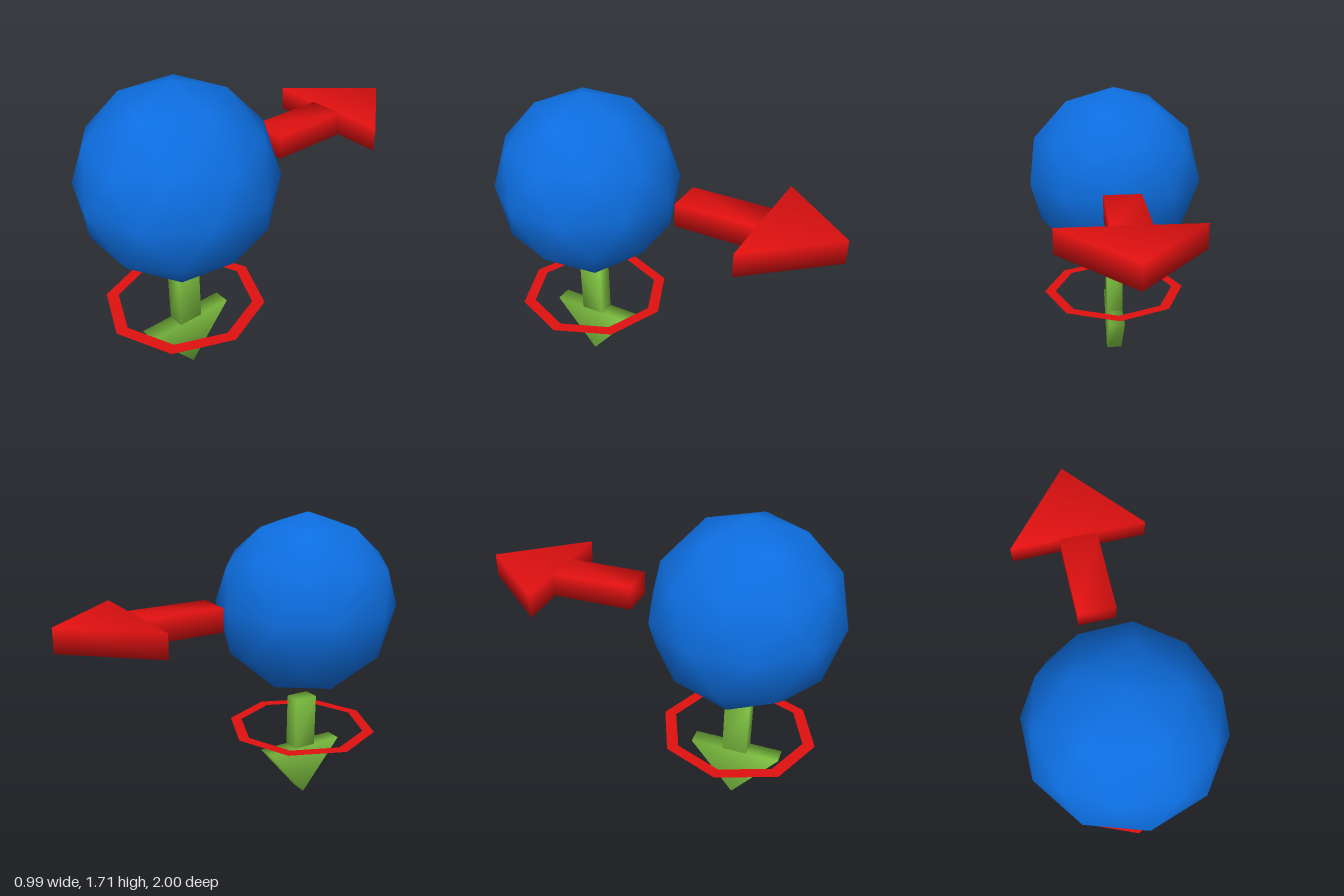
import * as THREE from 'three';
import { mergeVertices } from 'three/addons/utils/BufferGeometryUtils.js';

const mat = (name, color, side = THREE.FrontSide) => {
  const m = new THREE.MeshStandardMaterial({ color, side });
  m.name = name;
  return m;
};

// Flat outline given thickness, with normals shared across its corners
function softPrism(points, thickness) {
  const shape = new THREE.Shape(points.map(([x, y]) => new THREE.Vector2(x, y)));
  let g = new THREE.ExtrudeGeometry(shape, { depth: thickness, bevelEnabled: false });
  g.translate(0, 0, -thickness / 2);
  g.deleteAttribute('normal');
  g.deleteAttribute('uv');
  g = mergeVertices(g);
  g.computeVertexNormals();
  return g;
}

// Arrow from its tail at the origin, pointing along local +y
function makeArrow(name, material, { shaftWidth, shaftLength, headWidth, headLength, thickness }) {
  const arrow = new THREE.Group();
  arrow.name = name;
  const s = shaftWidth / 2, h = headWidth / 2, end = shaftLength + headLength;
  const parts = {
    Shaft: [[-s, 0], [s, 0], [s, shaftLength], [-s, shaftLength]],
    Head: [[-h, shaftLength], [h, shaftLength], [0, end]],
  };
  for (const [part, outline] of Object.entries(parts)) {
    const mesh = new THREE.Mesh(softPrism(outline, thickness), material);
    mesh.name = name + part;
    arrow.add(mesh);
  }
  return arrow;
}

export function createModel() {
  const model = new THREE.Group();
  model.name = 'directionMarker';
  const blue = mat('blue', 0x0d6ee0);
  const red = mat('red', 0xe01010, THREE.DoubleSide);
  const green = mat('green', 0x7fc241);
  const centreZ = 0.481;

  // Ball: faceted outline, smooth shading, one vertex straight up
  const ballGeometry = new THREE.IcosahedronGeometry(0.518, 1);
  ballGeometry.rotateZ(-Math.atan(2 / (1 + Math.sqrt(5))));
  const ball = new THREE.Mesh(ballGeometry, blue);
  ball.name = 'ball';
  ball.position.set(0, 1.196, centreZ);
  model.add(ball);

  // Arrow lying flat and pointing backwards
  const backArrow = makeArrow('backArrow', red, {
    shaftWidth: 0.204, shaftLength: 0.45, headWidth: 0.735, headLength: 0.43, thickness: 0.132,
  });
  backArrow.rotation.x = -Math.PI / 2;
  backArrow.position.set(0, 1.202, -0.12);
  model.add(backArrow);

  // Upright arrow pointing down
  const downArrow = makeArrow('downArrow', green, {
    shaftWidth: 0.14, shaftLength: 0.315, headWidth: 0.512, headLength: 0.307, thickness: 0.096,
  });
  downArrow.rotation.set(Math.PI, Math.PI / 2, 0, 'YXZ');
  downArrow.position.set(0, 0.622, centreZ);
  model.add(downArrow);

  // Flat eight-sided ring around the down arrow
  const ring = new THREE.Mesh(new THREE.RingGeometry(0.372, 0.44, 8), red);
  ring.name = 'ring';
  ring.rotation.x = -Math.PI / 2;
  ring.position.set(0, 0.432, centreZ);
  model.add(ring);

  return model;
}
